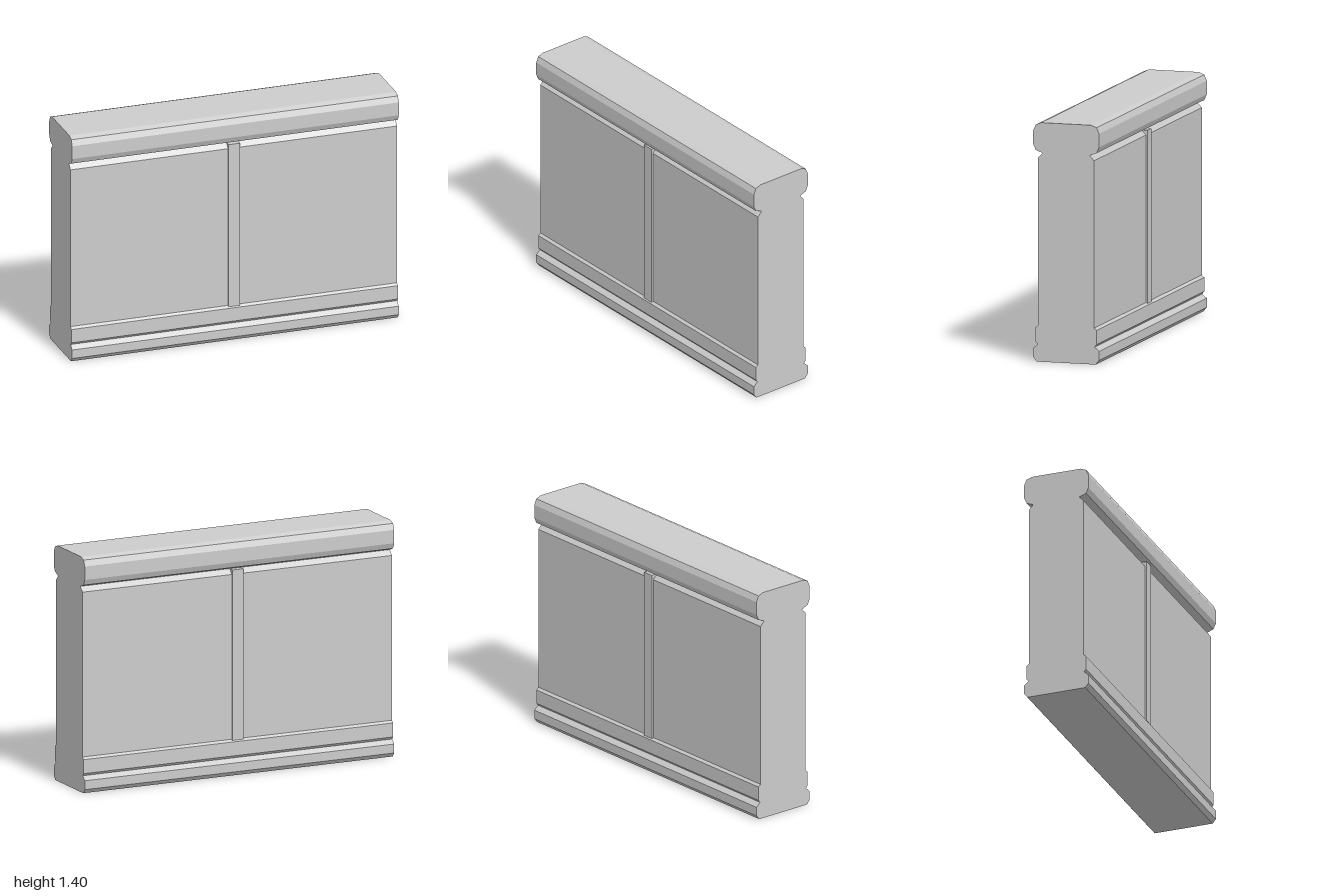
import * as THREE from 'three';

export function createModel() {
  const model = new THREE.Group();
  model.name = 'parapetWall';
  const stone = new THREE.MeshStandardMaterial({ color: 0xcccccc });
  stone.name = 'pale grey stone';

  // Half of the moulded cross-section as [depth, height], from base to coping
  const half = [
    [0.18, 0], [0.2, 0.025], [0.2, 0.078], [0.173, 0.102], // plinth
    [0.185, 0.117], [0.185, 0.2], [0.17, 0.213],           // skirting band
    [0.17, 1.193], [0.143, 1.222],                         // panel and neck
    [0.185, 1.238], [0.2, 1.272], [0.2, 1.352], [0.185, 1.387], [0.152, 1.4], // coping
  ];
  const outline = [...half, ...half.map(([z, y]) => [-z, y]).reverse()];
  const profile = new THREE.Shape(outline.map(([z, y]) => new THREE.Vector2(z, y)));
  const wallGeometry = new THREE.ExtrudeGeometry(profile, { depth: 2, bevelEnabled: false });
  wallGeometry.translate(0, 0, -1).rotateY(Math.PI / 2);
  const wall = new THREE.Mesh(wallGeometry, stone);
  wall.name = 'mouldedWall';
  model.add(wall);

  // Raised vertical strip on each face
  for (const [name, side] of [['frontStrip', 1], ['backStrip', -1]]) {
    const strip = new THREE.Mesh(new THREE.BoxGeometry(0.07, 1.014, 0.04), stone);
    strip.position.set(0, 0.715, side * 0.16);
    strip.name = name;
    model.add(strip);
  }
  return model;
}
